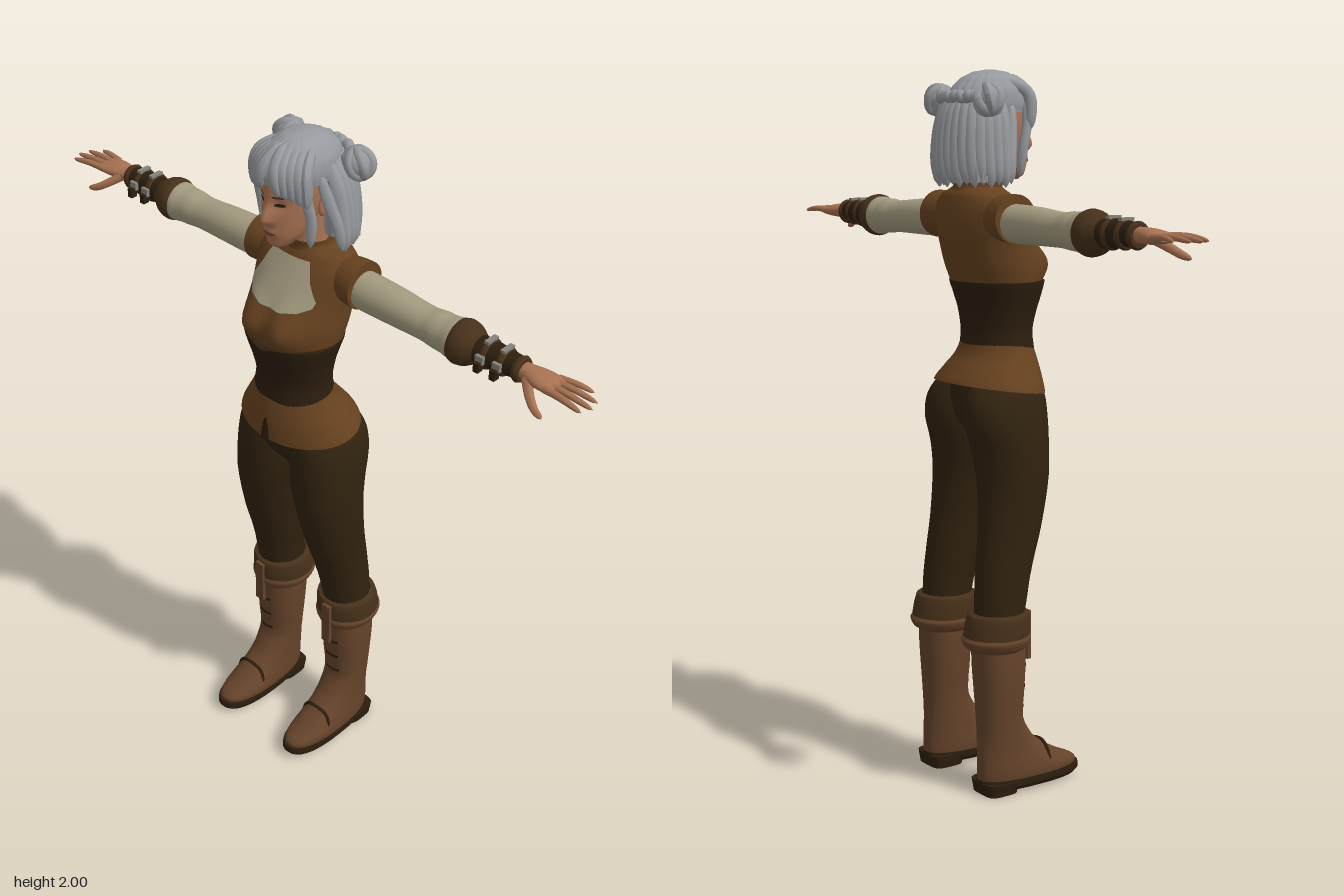
import * as THREE from 'three';

const mat = (name, hex, side = THREE.FrontSide) => {
  const m = new THREE.MeshStandardMaterial({ color: hex, side });
  m.name = name;
  return m;
};
const V = (x, y, z) => new THREE.Vector3(x, y, z);
const gauss = (d, s) => Math.exp(-(d * d) / (2 * s * s));
const spow = (v, p) => Math.sign(v) * Math.pow(Math.abs(v), p);

// Section at height y, from rows of [y, centreX, frontZ, backZ, halfWidth]
function section(rows, y) {
  let i = 0;
  while (i < rows.length - 2 && y > rows[i + 1][0]) i++;
  const R = k => rows[Math.min(Math.max(k, 0), rows.length - 1)];
  const t = (y - R(i)[0]) / (R(i + 1)[0] - R(i)[0]);
  const [, x, zf, zb, rx] = R(i).map((_, c) => {
    const a = R(i - 1)[c], b = R(i)[c], d = R(i + 1)[c], e = R(i + 2)[c];
    return b + 0.5 * t * (d - a + t * (2 * a - 5 * b + 4 * d - e + t * (3 * (b - d) + e - a)));
  });
  return { x, mid: (zf + zb) / 2, hz: Math.max((zf - zb) / 2, 0.001), rx: Math.max(rx, 0.001) };
}

// Smooth skin over the sections; bump pushes the front out, flute makes grooves
function loft(rows, { seg = 36, sub = 5, pow = 2, bump, flute, caps = true, warp } = {}) {
  const ys = [];
  rows.forEach((r, i) => {
    if (i) for (let k = 0; k < sub; k++) ys.push(rows[i - 1][0] + (r[0] - rows[i - 1][0]) * k / sub);
  });
  ys.push(rows[rows.length - 1][0]);
  const rings = ys.map(y => {
    const s = section(rows, y), ring = [];
    for (let j = 0; j < seg; j++) {
      const a = j / seg * Math.PI * 2, g = flute ? 1 + flute[0] * Math.cos(flute[1] * a) : 1;
      const c = spow(Math.cos(a), 2 / pow), n = spow(Math.sin(a), 2 / pow);
      const p = V(s.x + s.rx * g * c, y, s.mid + s.hz * g * n);
      if (bump && n > 0) p.z += bump(p.x, y) * n;
      if (warp) warp(p);
      ring.push(p);
    }
    return ring;
  });
  if (caps) {
    const flat = r => {
      const c = r.reduce((s, p) => s.add(p), V(0, 0, 0)).divideScalar(seg);
      return r.map(() => c);
    };
    const a = rings[0], b = rings[rings.length - 1];
    rings.unshift(flat(a), a);
    rings.push(b, flat(b));
  }
  const index = [];
  for (let i = 0; i < rings.length - 1; i++) for (let j = 0; j < seg; j++) {
    const a = i * seg + j, b = i * seg + (j + 1) % seg;
    index.push(a, a + seg, b, b, a + seg, b + seg);
  }
  const g = new THREE.BufferGeometry().setFromPoints(rings.flat());
  g.setIndex(index);
  g.computeVertexNormals();
  return g;
}

// Thin sheet lying on the front of a loft, from outline rows of [y, leftX, rightX]
function patch(rows, outline, off = 0.004, bump, cols = 14) {
  const pts = [], index = [];
  outline.forEach(([y, x0, x1], i) => {
    const s = section(rows, y);
    for (let j = 0; j <= cols; j++) {
      const x = x0 + (x1 - x0) * j / cols;
      const n = Math.sqrt(Math.max(0, 1 - ((x - s.x) / s.rx) ** 2));
      pts.push(V(x, y, s.mid + s.hz * n + (bump ? bump(x, y) * n : 0) + off));
      if (i && j) {
        const d = i * (cols + 1) + j, b = d - cols - 1;
        index.push(b - 1, b, d, b - 1, d, d - 1);
      }
    }
  });
  const g = new THREE.BufferGeometry().setFromPoints(pts);
  g.setIndex(index);
  g.computeVertexNormals();
  return g;
}
const oval = (x, y, w, h) => Array.from({ length: 9 }, (_, i) => {
  const a = (i / 8 - 0.5) * Math.PI, c = Math.cos(a) * w;
  return [y + Math.sin(a) * h, x - c, x + c];
});

// Tapered tube through points; radius is a function of 0..1 along it
function strand(points, radius, n = 14, sides = 8) {
  const curve = new THREE.CatmullRomCurve3(points.map(p => V(...p)));
  const g = new THREE.TubeGeometry(curve, n, 1, sides), p = g.attributes.position, v = V(0, 0, 0);
  for (let i = 0; i < p.count; i++) {
    const t = Math.floor(i / (sides + 1)) / n, c = curve.getPointAt(t);
    v.fromBufferAttribute(p, i).sub(c).multiplyScalar(radius(t)).add(c);
    p.setXYZ(i, v.x, v.y, v.z);
  }
  g.computeVertexNormals();
  return g;
}
const lock = r => t => r * Math.pow(Math.max(0.0004, 1 - Math.pow(2 * t - 1, 4)), 0.6) + 0.001;
const finger = r => t => r * (1 - 0.3 * t) * Math.sqrt(Math.max(0.001, 1 - Math.pow(t, 8)));
const place = (g, x, y, z) => g.translate(x, y, z);

function mirrored(g) {
  const m = g.clone().scale(-1, 1, 1);
  const idx = m.index ? Array.from(m.index.array) : Array.from({ length: m.attributes.position.count }, (_, i) => i);
  for (let i = 0; i < idx.length; i += 3) [idx[i], idx[i + 1]] = [idx[i + 1], idx[i]];
  m.setIndex(idx);
  m.computeVertexNormals();
  return m;
}

export function createModel() {
  const model = new THREE.Group();
  model.name = 'figure';
  const D = THREE.DoubleSide;
  const skin = mat('skin', 0xa87252), hair = mat('grey hair', 0x96999d, D), brown = mat('brown leather', 0x65411f, D);
  const boot = mat('boot leather', 0x64432a, D), cream = mat('cream cloth', 0xa39b80, D), dark = mat('dark leather', 0x2c1e0e, D);
  const pants = mat('trouser cloth', 0x30220f), cuffs = mat('cuff leather', 0x46301a, D);
  const metal = mat('metal', 0x85837c), lip = mat('lip', 0x7c4638, D);
  const add = (name, g, m) => {
    const mesh = new THREE.Mesh(g, m);
    mesh.name = name;
    model.add(mesh);
  };
  const pair = (name, g, m) => { add(name + 'Left', g, m); add(name + 'Right', mirrored(g), m); };

  // Torso: vest with cream chest, corset, flared skirt
  const bust = (x, y) => 0.046 * gauss(Math.abs(x) - 0.065, 0.04) * gauss(y - 1.475, 0.04);
  const vest = [[1.39, 0, 0.105, -0.1, 0.125], [1.42, 0, 0.11, -0.113, 0.137], [1.47, 0, 0.108, -0.132, 0.145], [1.53, 0, 0.09, -0.147, 0.148],
    [1.58, 0, 0.065, -0.152, 0.155], [1.63, 0, 0.036, -0.145, 0.16], [1.665, 0, 0.016, -0.135, 0.13], [1.685, 0, 0.005, -0.12, 0.08]];
  add('vest', loft(vest, { seg: 48, bump: bust }), brown);
  add('chestCloth', patch(vest, [[1.53, -0.035, 0.035], [1.537, -0.08, 0.08], [1.55, -0.108, 0.108], [1.565, -0.112, 0.112], [1.585, -0.1, 0.1],
    [1.61, -0.085, 0.085], [1.635, -0.075, 0.075], [1.657, -0.064, 0.064]], 0.005, bust), cream);
  add('collar', loft([[1.66, 0, 0.014, -0.135, 0.085], [1.68, 0, 0.012, -0.125, 0.07], [1.7, 0, 0.014, -0.12, 0.068]], { caps: false }), brown);
  add('corset', loft([[1.235, 0, 0.104, -0.09, 0.119], [1.29, 0, 0.1, -0.087, 0.113], [1.35, 0, 0.113, -0.095, 0.123],
    [1.4, 0, 0.128, -0.11, 0.137], [1.428, 0, 0.134, -0.119, 0.145]], {
    seg: 48, warp: p => {
      if (p.z > 0 && p.y < 1.3) p.y -= 0.02 * gauss(p.x, 0.03) * (1.3 - p.y) / 0.065;
      if (p.z > 0 && p.y > 1.39) p.y -= 0.016 * gauss(p.x, 0.025) * (p.y - 1.39) / 0.038;
    } }), dark);
  const skirt = [[1.13, 0, 0.12, -0.157, 0.187], [1.18, 0, 0.116, -0.128, 0.158], [1.22, 0, 0.108, -0.1, 0.132], [1.262, 0, 0.097, -0.087, 0.114]];
  add('skirt', loft(skirt, { seg: 48, caps: false, warp: p => { p.y -= p.z * (1.262 - p.y); } }), brown);
  add('skirtSlit', patch(skirt, [[1.112, -0.016, 0.016], [1.15, -0.012, 0.012], [1.185, -0.003, 0.003]], 0.005, null, 2), dark);

  // Trousers
  add('hips', loft([[0.98, 0, 0.03, -0.07, 0.03], [1.05, 0, 0.08, -0.115, 0.13], [1.14, 0, 0.088, -0.125, 0.155], [1.24, 0, 0.085, -0.08, 0.105]]), pants);
  pair('trouserLeg', loft([[0.44, 0.133, -0.015, -0.15, 0.062], [0.55, 0.132, 0.004, -0.147, 0.068], [0.63, 0.127, 0.022, -0.14, 0.073],
    [0.75, 0.121, 0.058, -0.125, 0.081], [0.88, 0.112, 0.086, -0.12, 0.093], [0.96, 0.104, 0.092, -0.13, 0.101],
    [1.05, 0.099, 0.094, -0.155, 0.097], [1.12, 0.09, 0.092, -0.145, 0.085], [1.2, 0.06, 0.08, -0.09, 0.065]]), pants);

  // Boots
  const shaft = [[0.03, 0.14, 0.172, -0.146, 0.06], [0.055, 0.14, 0.175, -0.148, 0.063], [0.08, 0.14, 0.125, -0.148, 0.061],
    [0.11, 0.139, 0.07, -0.147, 0.058], [0.15, 0.138, 0.022, -0.145, 0.057], [0.21, 0.138, -0.012, -0.145, 0.059],
    [0.3, 0.137, -0.01, -0.15, 0.066], [0.38, 0.136, -0.006, -0.155, 0.07], [0.48, 0.134, -0.005, -0.155, 0.07]];
  pair('boot', loft(shaft, { pow: 2.3 }), boot);
  pair('bootSole', loft([[0.012, 0.14, 0.175, -0.145, 0.058], [0.024, 0.14, 0.186, -0.15, 0.065], [0.042, 0.14, 0.184, -0.15, 0.065]], { pow: 2.4 }), dark);
  pair('bootHeel', loft([[0, 0.14, -0.045, -0.145, 0.055], [0.035, 0.14, -0.03, -0.15, 0.06]], { pow: 4 }), dark);
  pair('cuffFold', loft([[0.445, 0.132, 0.01, -0.182, 0.088], [0.49, 0.132, 0.012, -0.174, 0.087], [0.515, 0.132, 0.008, -0.165, 0.083],
    [0.52, 0.132, -0.004, -0.152, 0.069]], { caps: false }), cuffs);
  pair('cuffTrim', loft([[0.415, 0.133, -0.002, -0.165, 0.073], [0.425, 0.132, 0.008, -0.178, 0.083], [0.445, 0.132, 0.014, -0.187, 0.091], [0.457, 0.132, 0.011, -0.18, 0.087]], { caps: false }), boot);
  pair('cuffTab', place(new THREE.BoxGeometry(0.03, 0.14, 0.012), 0.137, 0.44, 0.013), boot);
  for (const y of [0.24, 0.3, 0.36]) pair('bootLacing', patch(shaft, [[y - 0.005, 0.115, 0.165], [y + 0.005, 0.115, 0.165]], 0.006, null, 4), dark);
  pair('instepSeam', strand([[0.085, 0.06, 0.06], [0.1, 0.11, 0.055], [0.14, 0.124, 0.058], [0.18, 0.11, 0.055], [0.195, 0.06, 0.06]], () => 0.005), dark);

  // Arms, built upright and laid out sideways
  const limb = (rows, o) => loft(rows.map(([x, y, r, d = r]) => [x, -y, -0.06 + d, -0.06 - d, r]), o).rotateZ(-Math.PI / 2);
  pair('armhole', limb([[0.09, 1.605, 0.055], [0.15, 1.605, 0.064], [0.186, 1.604, 0.066]]), brown);
  pair('sleeve', limb([[0.14, 1.595, 0.048], [0.2, 1.592, 0.052], [0.3, 1.59, 0.05], [0.4, 1.586, 0.046], [0.44, 1.586, 0.05],
    [0.47, 1.585, 0.051], [0.5, 1.585, 0.055], [0.53, 1.585, 0.045]]), cream);
  pair('bracerFlare', limb([[0.5, 1.585, 0.057], [0.515, 1.585, 0.061], [0.54, 1.585, 0.056], [0.56, 1.585, 0.044], [0.575, 1.585, 0.036]]), cuffs);
  pair('bracer', limb([[0.55, 1.586, 0.038], [0.62, 1.588, 0.036], [0.7, 1.59, 0.029]]), dark);
  [0.6, 0.65, 0.695].forEach((x, i) => {
    const r = 0.037 - i * 0.003;
    pair('bracerStrap', limb([[x - 0.01, 1.588, r], [x, 1.588, r + 0.005], [x + 0.01, 1.588, r]], { sub: 2 }), cuffs);
    if (i < 2) {
      pair('buckle', place(new THREE.BoxGeometry(0.024, 0.022, 0.01), x, 1.592, -0.06 + r + 0.006), metal);
      pair('buckleTop', place(new THREE.BoxGeometry(0.014, 0.008, 0.04), x, 1.588 + r + 0.004, -0.06), metal);
      pair('strapEnd', place(new THREE.BoxGeometry(0.016, 0.026, 0.02), x, 1.574, -0.012), dark);
    }
  });

  // Hands
  pair('palm', limb([[0.67, 1.59, 0.021, 0.022], [0.71, 1.59, 0.02, 0.024], [0.75, 1.589, 0.02, 0.035], [0.79, 1.588, 0.015, 0.039], [0.81, 1.588, 0.009, 0.036]]), skin);
  [[-0.03, 0.905], [-0.05, 0.918], [-0.071, 0.91], [-0.091, 0.88]].forEach(([z, tip], i) => {
    const spread = (z + 0.06) * 0.45;
    pair('finger', strand([[0.785, 1.59, z], [0.84, 1.592, z + spread * 0.5], [tip, 1.585, z + spread]], finger(0.0105 - i * 0.0005)), skin);
  });
  pair('thumb', strand([[0.725, 1.585, -0.042], [0.76, 1.56, -0.012], [0.785, 1.545, 0.002], [0.815, 1.535, 0.01]], finger(0.014)), skin);

  // Head
  const nose = (x, y) => 0.026 * gauss(x, 0.011) * gauss(y - 1.795, y > 1.795 ? 0.026 : 0.01) - 0.008 * gauss(Math.abs(x) - 0.03, 0.014) * gauss(y - 1.838, 0.013)
    + 0.006 * gauss(x, 0.02) * gauss(y - 1.755, 0.01);
  const face = [[1.703, 0, 0.078, 0.035, 0.014], [1.715, 0, 0.092, 0.01, 0.032], [1.74, 0, 0.096, -0.02, 0.05], [1.775, 0, 0.1, -0.06, 0.063],
    [1.82, 0, 0.102, -0.09, 0.071], [1.87, 0, 0.102, -0.1, 0.074], [1.92, 0, 0.088, -0.1, 0.068], [1.965, 0, 0.04, -0.07, 0.04]];
  add('head', loft(face, { seg: 64, sub: 8, bump: nose }), skin);
  add('neck', loft([[1.64, 0, 0.01, -0.11, 0.062], [1.69, 0, 0.006, -0.1, 0.05], [1.78, 0, 0.012, -0.09, 0.049]]), skin);
  add('mouth', patch(face, oval(0, 1.754, 0.021, 0.006), 0.002, nose), lip);
  pair('eye', patch(face, oval(0.03, 1.838, 0.013, 0.005), 0.002, nose), dark);
  pair('eyebrow', patch(face, oval(0.031, 1.861, 0.018, 0.003), 0.002, nose), cuffs);
  pair('ear', place(new THREE.SphereGeometry(1, 14, 10).scale(0.01, 0.03, 0.018).rotateX(-0.25), 0.078, 1.815, -0.02), skin);

  // Hair: cap, hanging back locks, fringe, buns and braid
  add('hairCap', loft([[1.885, 0, 0.1, -0.14, 0.087], [1.91, 0, 0.104, -0.14, 0.09], [1.945, 0, 0.093, -0.13, 0.085], [1.975, 0, 0.066, -0.1, 0.066],
    [1.992, 0, 0.035, -0.065, 0.04], [1.998, 0, 0.0, -0.03, 0.012]], { seg: 96, flute: [0.018, 22] }), hair);
  add('backHair', loft([[1.7, 0, -0.055, -0.155, 0.118], [1.75, 0, -0.045, -0.162, 0.115], [1.83, 0, -0.035, -0.155, 0.1], [1.92, 0, -0.02, -0.135, 0.083]], { seg: 96, flute: [0.03, 26] }), hair);
  for (let i = 0; i <= 16; i++) {
    const a = i / 16 * Math.PI, c = Math.cos(a), s = Math.sin(a);
    add('backLock', strand([[0.07 * c, 1.935, -0.04 - 0.085 * s], [0.1 * c, 1.86, -0.045 - 0.108 * s], [0.116 * c, 1.77, -0.05 - 0.112 * s],
      [0.126 * c, 1.685 + 0.008 * (i % 2), -0.05 - 0.105 * s]], lock(0.021)), hair);
  }
  for (let i = 0; i < 5; i++) pair('fringe', strand([[0.004 + 0.01 * i, 1.985 - 0.003 * i, 0.045 - 0.015 * i], [0.02 + 0.016 * i, 1.935, 0.096 - 0.011 * i],
    [0.034 + 0.014 * i, 1.868 - 0.008 * i, 0.099 - 0.011 * i]], lock(0.016)), hair);
  pair('templeLock', strand([[0.07, 1.93, 0.05], [0.083, 1.86, 0.05], [0.086, 1.79, 0.035], [0.078, 1.71, 0.03]], lock(0.013)), hair);
  pair('outerLock', strand([[0.08, 1.91, 0.0], [0.1, 1.83, -0.015], [0.12, 1.76, -0.03], [0.13, 1.695, -0.035]], lock(0.015)), hair);
  pair('bun', place(new THREE.SphereGeometry(0.038, 20, 14), 0.118, 1.918, -0.1), hair);
  for (let k = 0; k < 3; k++) pair('bunTwist', place(new THREE.TorusGeometry(0.033, 0.014, 8, 24).rotateY(0.5 + k * 1.05).rotateZ(0.4), 0.12, 1.917, -0.102), hair);
  for (let i = 0; i <= 12; i++) {
    const a = i / 12 * Math.PI;
    add('braid', place(new THREE.SphereGeometry(1, 10, 8).scale(0.016, 0.02, 0.016).rotateZ(i % 2 ? 0.6 : -0.6), 0.09 * Math.cos(a), 1.925, -0.09 - 0.058 * Math.sin(a)), hair);
  }
  return model;
}
